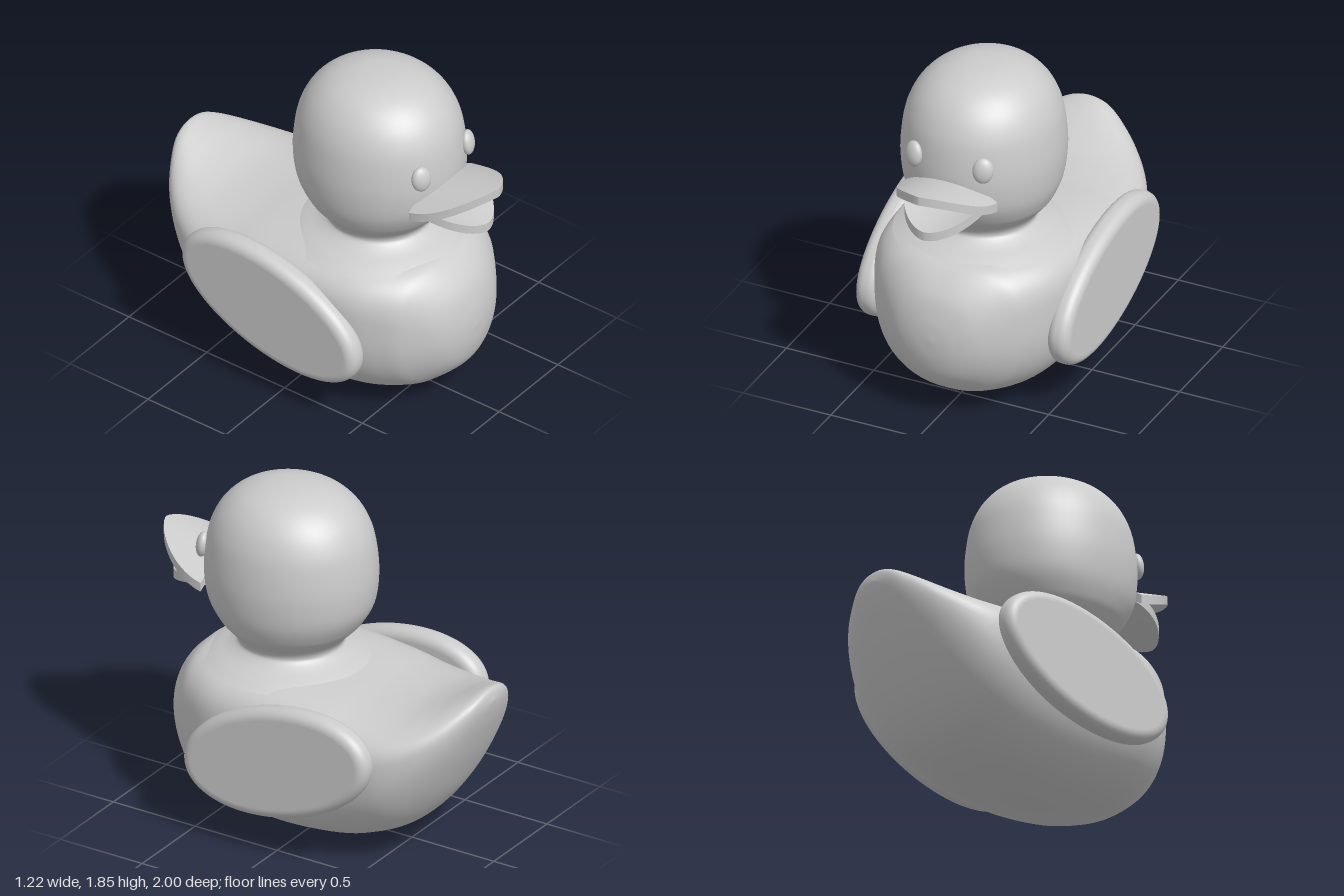
import * as THREE from 'three';
import { mergeVertices } from 'three/addons/utils/BufferGeometryUtils.js';

const material = new THREE.MeshStandardMaterial({ color: 0xcccccc, roughness: 0.6 });

function addMesh(parent, name, geometry) {
  const mesh = new THREE.Mesh(geometry, material);
  mesh.name = name;
  parent.add(mesh);
  return mesh;
}

// Weld coincident vertices and give smooth normals
function smooth(geometry) {
  geometry.deleteAttribute('uv');
  geometry.deleteAttribute('normal');
  const welded = mergeVertices(geometry, 1e-4);
  welded.computeVertexNormals();
  return welded;
}

// Body: cross-sections lofted from breast to upturned tail
function bodyGeometry() {
  // z, top, bottom, half width, height of widest point, squareness of upper half
  const keys = [
    [0.86, 0.5, 0.5, 0, 0.5, 2],
    [0.845, 0.62, 0.37, 0.12, 0.5, 2],
    [0.8, 0.745, 0.25, 0.24, 0.52, 2.2],
    [0.7, 0.85, 0.15, 0.365, 0.54, 2.7],
    [0.6, 0.885, 0.09, 0.445, 0.56, 3.1],
    [0.4, 0.9, 0.035, 0.53, 0.58, 3.4],
    [0.1, 0.9, 0.005, 0.555, 0.6, 3.5],
    [-0.2, 0.875, 0.025, 0.555, 0.6, 3.4],
    [-0.4, 0.855, 0.07, 0.545, 0.6, 3],
    [-0.6, 0.86, 0.17, 0.515, 0.63, 2.6],
    [-0.75, 0.9, 0.34, 0.44, 0.7, 2.2],
    [-0.87, 0.955, 0.56, 0.33, 0.78, 2],
    [-0.95, 0.99, 0.75, 0.205, 0.87, 2],
    [-0.985, 0.985, 0.86, 0.115, 0.92, 2],
    [-1, 0.93, 0.93, 0, 0.93, 2],
  ];
  const curve = (k) => new THREE.CatmullRomCurve3(
    keys.map((r) => new THREE.Vector3(r[k], r[k + 1], r[k + 2])), false, 'catmullrom', 0.5);
  const heights = curve(0), widths = curve(3);
  const rows = 84, cols = 72, positions = [], index = [];
  for (let i = 0; i <= rows; i++) {
    const { x: z, y: top, z: bottom } = heights.getPoint(i / rows);
    const { x: half, y: mid, z: square } = widths.getPoint(i / rows);
    for (let j = 0; j < cols; j++) {
      const a = (j / cols) * Math.PI * 2, c = Math.cos(a), s = Math.sin(a);
      const n = s > 0 ? square : 2 + (square - 2) * 0.28;
      const x = half * Math.sign(c) * Math.abs(c) ** (2 / n);
      const rise = Math.abs(s) ** (2 / n);
      positions.push(x, s > 0 ? mid + (top - mid) * rise : mid - (mid - bottom) * rise, z);
      if (i < rows) {
        const p = i * cols + j, q = i * cols + (j + 1) % cols;
        index.push(p, p + cols, q, q, p + cols, q + cols);
      }
    }
  }
  const geometry = new THREE.BufferGeometry();
  geometry.setAttribute('position', new THREE.Float32BufferAttribute(positions, 3));
  geometry.setIndex(index);
  return smooth(geometry);
}

// Head and neck: turned profile, the head a little deeper than wide
function headGeometry() {
  const profile = [
    [0.47, 0.85], [0.4, 0.885], [0.33, 0.915], [0.285, 0.945], [0.277, 0.97], [0.295, 1.005],
    [0.335, 1.05], [0.37, 1.1], [0.407, 1.2], [0.423, 1.35], [0.412, 1.5], [0.387, 1.61],
    [0.335, 1.71], [0.25, 1.79], [0.13, 1.838], [0, 1.85],
  ].map(([r, y]) => new THREE.Vector2(r, y));
  const points = new THREE.SplineCurve(profile).getPoints(75);
  points.forEach((p) => { p.x = Math.max(p.x, 0); });
  const geometry = new THREE.LatheGeometry(points, 64);
  const p = geometry.attributes.position;
  for (let i = 0; i < p.count; i++) {
    p.setZ(i, p.getZ(i) * (1 + 0.09 * THREE.MathUtils.smoothstep(p.getY(i), 0.97, 1.25)));
  }
  return smooth(geometry);
}

// Bill half: a slab tapered to a rounded tip, sloped lengthwise and arched across
function billGeometry({ width, back, length, thickness, y, slope, arch, power }) {
  const geometry = new THREE.BoxGeometry(2, 1, 1, 28, 1, 28);
  const p = geometry.attributes.position;
  for (let i = 0; i < p.count; i++) {
    const v = Math.sin((p.getZ(i) + 0.5) * Math.PI / 2);
    const x = p.getX(i) * width * Math.max(0, 1 - v * v) ** power;
    const z = back + length * v;
    p.setXYZ(i, x, y + slope * length * v + arch * x * x + p.getY(i) * thickness, z);
  }
  geometry.computeVertexNormals();
  return geometry;
}

// Wing: tilted oval plate with a rounded rim
function wingGeometry() {
  const rim = 0.055;
  const oval = new THREE.Shape();
  oval.absellipse(0, 0, 0.575 - rim, 0.307 - rim, 0, Math.PI * 2, false, 0.276);
  const geometry = new THREE.ExtrudeGeometry(oval, {
    depth: 0.018, bevelThickness: rim, bevelSize: rim, bevelSegments: 8, curveSegments: 72,
  });
  geometry.center();
  geometry.rotateY(Math.PI / 2);
  return smooth(geometry);
}

export function createModel() {
  const duck = new THREE.Group();
  duck.name = 'duck';

  addMesh(duck, 'body', bodyGeometry());
  addMesh(duck, 'head', headGeometry()).position.z = 0.235;

  addMesh(duck, 'upperBill', billGeometry({
    width: 0.265, back: 0.62, length: 0.38, thickness: 0.05,
    y: 1.33, slope: 0.22, arch: -1.2, power: 0.7,
  }));
  addMesh(duck, 'lowerBill', billGeometry({
    width: 0.225, back: 0.62, length: 0.315, thickness: 0.05,
    y: 1.222, slope: -0.17, arch: 0.9, power: 0.6,
  }));

  const wing = wingGeometry();
  const eye = new THREE.SphereGeometry(1, 32, 20);
  for (const [side, name] of [[1, 'left'], [-1, 'right']]) {
    addMesh(duck, name + 'Wing', wing).position.set(side * 0.548, 0.55, -0.04);
    const eyeball = addMesh(duck, name + 'Eye', eye);
    eyeball.position.set(side * 0.198, 1.46, 0.65);
    eyeball.scale.set(0.055, 0.07, 0.034);
    eyeball.rotation.set(-0.15, side * 0.4, 0);
  }
  return duck;
}
